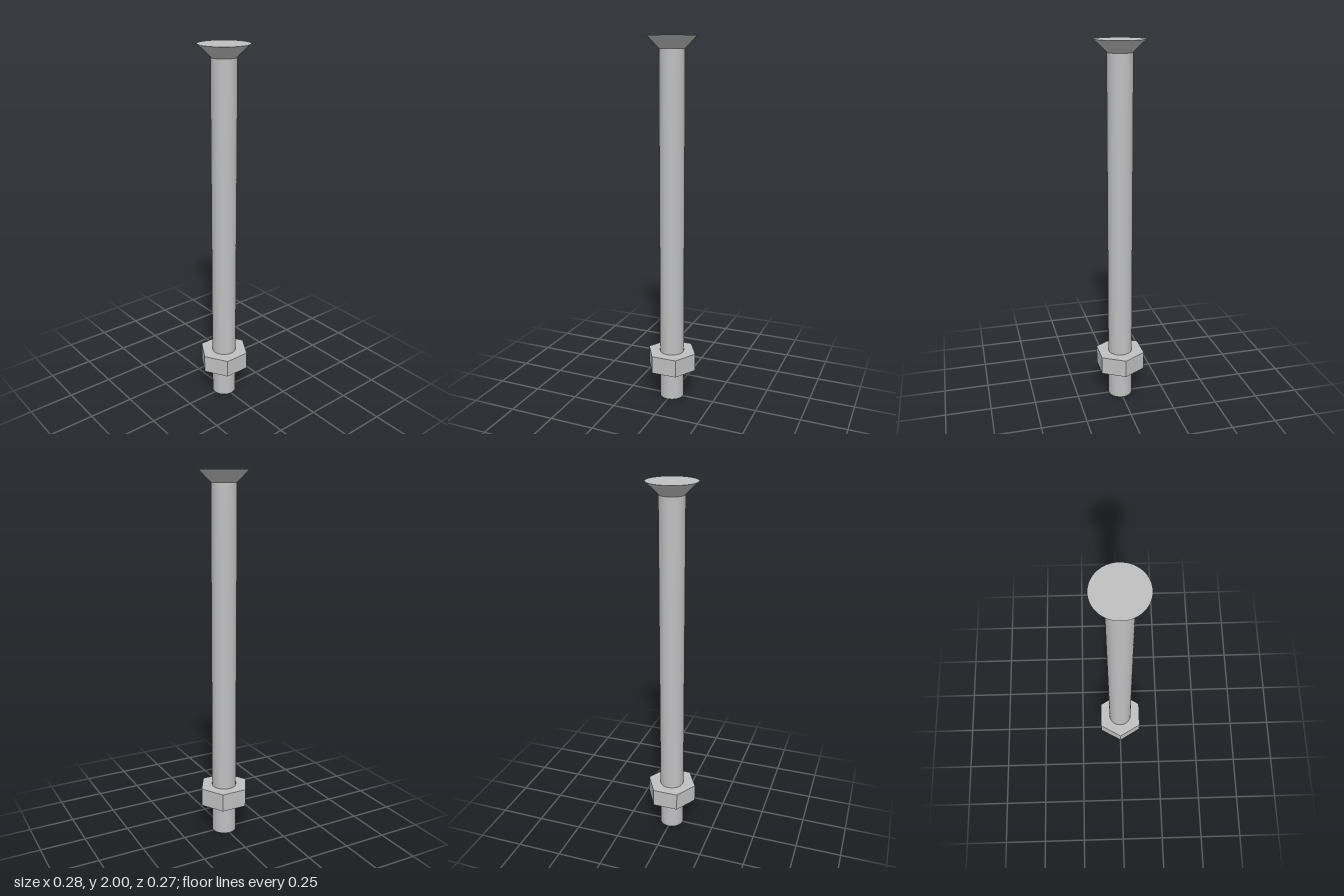
import * as THREE from 'three';

export function createModel() {
  const group = new THREE.Group();
  const steel = new THREE.MeshStandardMaterial({ color: 0xc0c0c0 });
  steel.name = 'steel grey';

  const shaftRadius = 0.067, headRadius = 0.133, nutRadius = 0.141;
  const headBase = 1.935, top = 2;
  const nutBase = 0.175, nutHeight = 0.1;

  function add(name, geometry, y) {
    const mesh = new THREE.Mesh(geometry, steel);
    mesh.name = name;
    mesh.position.y = y;
    group.add(mesh);
  }

  // Plain round shaft
  add('shaft', new THREE.CylinderGeometry(shaftRadius, shaftRadius, headBase, 64), headBase / 2);

  // Countersunk head with a flat top
  const headHeight = top - headBase;
  add('countersunkHead', new THREE.CylinderGeometry(headRadius, shaftRadius, headHeight, 64), headBase + headHeight / 2);

  // Hexagonal nut with corners on the x axis, bored for the shaft
  const corners = [];
  for (let i = 0; i < 6; i++) {
    const a = (i * Math.PI) / 3;
    corners.push(new THREE.Vector2(nutRadius * Math.cos(a), nutRadius * Math.sin(a)));
  }
  const hexagon = new THREE.Shape(corners);
  hexagon.holes.push(new THREE.Path().absarc(0, 0, shaftRadius - 0.001, 0, Math.PI * 2, true));
  const nut = new THREE.ExtrudeGeometry(hexagon, { depth: nutHeight, bevelEnabled: false, curveSegments: 32 });
  nut.rotateX(-Math.PI / 2);
  add('hexNut', nut, nutBase);

  return group;
}
